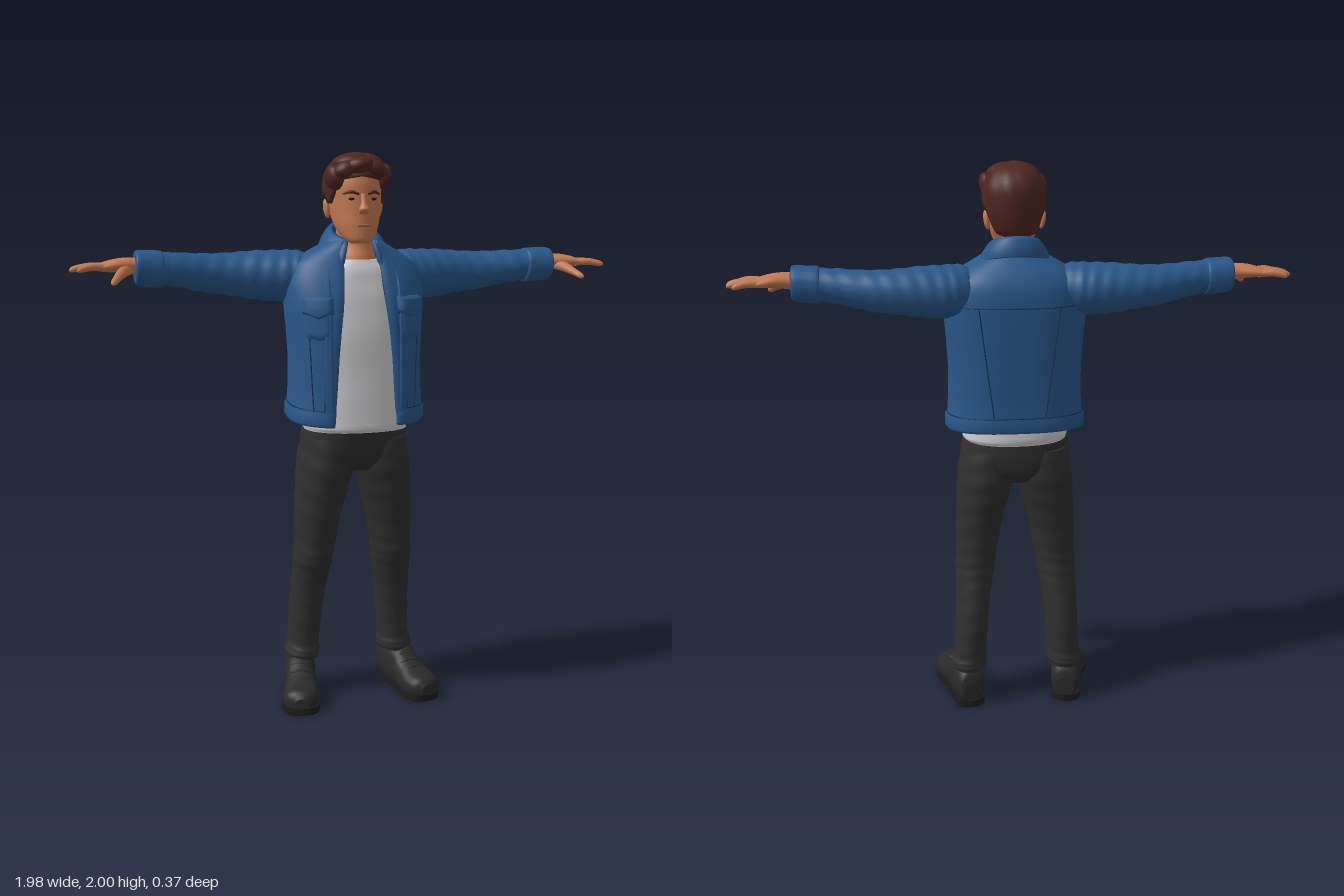
import * as THREE from 'three';

const V = (x, y, z) => new THREE.Vector3(x, y, z);
const mat = (name, color, side = THREE.FrontSide) => {
  const m = new THREE.MeshStandardMaterial({ color, side });
  m.name = name;
  return m;
};

// Piecewise linear lookup: rows sorted by their first entry
function lookup(rows, k) {
  let i = 0;
  while (i < rows.length - 2 && k > rows[i + 1][0]) i++;
  const a = rows[i], b = rows[i + 1];
  const t = THREE.MathUtils.clamp((k - a[0]) / (b[0] - a[0]), 0, 1);
  return a.map((v, j) => v + (b[j] - v) * t);
}

// Joins closed rings of points into a smooth skin, with optional end caps
function stitch(rings, capStart = true, capEnd = true) {
  const pos = [], idx = [], n = rings[0].length;
  rings.forEach(r => r.forEach(p => pos.push(p.x, p.y, p.z)));
  for (let i = 0; i < rings.length - 1; i++) for (let j = 0; j < n; j++) {
    const a = i * n + j, c = i * n + (j + 1) % n;
    idx.push(a, a + n, c, c, a + n, c + n);
  }
  const cap = (ring, end) => {
    const o = pos.length / 3, mid = V(0, 0, 0);
    ring.forEach(p => { mid.addScaledVector(p, 1 / n); pos.push(p.x, p.y, p.z); });
    pos.push(mid.x, mid.y, mid.z);
    for (let j = 0; j < n; j++) {
      const a = o + j, b = o + (j + 1) % n;
      end ? idx.push(o + n, b, a) : idx.push(o + n, a, b);
    }
  };
  if (capStart) cap(rings[0], false);
  if (capEnd) cap(rings[rings.length - 1], true);
  const g = new THREE.BufferGeometry();
  g.setAttribute('position', new THREE.Float32BufferAttribute(pos, 3));
  g.setIndex(idx);
  g.computeVertexNormals();
  return g;
}

// Loft along an axis through sections [x, y, z, radiusU, radiusV]
function loft(secs, axis, { seg = 24, steps = 4, e = 1, folds = 0, floor = -9 } = {}) {
  const k = 'xyz'.indexOf(axis);
  if (secs[0][k] > secs[secs.length - 1][k]) secs = [...secs].reverse();
  const u = axis === 'x' ? V(0, 1, 0) : V(1, 0, 0);
  const v = { x: V(0, 0, -1), y: V(0, 0, 1), z: V(0, -1, 0) }[axis];
  const path = new THREE.CatmullRomCurve3(secs.map(s => V(s[0], s[1], s[2])), false, 'catmullrom');
  const size = new THREE.CatmullRomCurve3(secs.map(s => V(s[3], s[4], 0)), false, 'catmullrom');
  const n = (secs.length - 1) * steps, rings = [];
  const pw = c => Math.sign(c) * Math.abs(c) ** e;
  for (let i = 0; i <= n; i++) {
    const c = path.getPoint(i / n), r = size.getPoint(i / n);
    rings.push(Array.from({ length: seg }, (_, j) => {
      const a = j / seg * Math.PI * 2, w = 1 + folds * Math.sin(i * 1.5 + 2 * Math.sin(a) + a);
      const p = c.clone().addScaledVector(u, r.x * pw(Math.cos(a)) * w).addScaledVector(v, r.y * pw(Math.sin(a)) * w);
      p.y = Math.max(p.y, floor);
      return p;
    }));
  }
  return stitch(rings);
}

const ellipsoid = (x, y, z, rx, ry, rz, tilt = 0) =>
  new THREE.SphereGeometry(1, 20, 14).scale(rx, ry, rz).rotateZ(tilt).translate(x, y, z);

// Garment open at the front; rows are [y, radiusX, radiusZ, centreZ, halfOpening]
function garment(rows, thick, tilt, e = 0.78) {
  const pw = c => Math.sign(c) * Math.abs(c) ** e;
  const phi = (y, x) => Math.asin(Math.min(1, x / lookup(rows, y)[1]) ** (1 / e));
  const at = (y, a, off = 0) => {
    const [, rx, rz, cz] = lookup(rows, y);
    const z = cz + (rz + off) * pw(Math.cos(a));
    return V((rx + off) * pw(Math.sin(a)), y + tilt(y, z), z);
  };
  const ring = (y, outer, inner) => {
    const a0 = phi(y, lookup(rows, y)[4]), N = 56, pts = [];
    const ang = i => a0 + (2 * Math.PI - 2 * a0) * i / N;
    for (let i = N; i >= 0; i--) pts.push(at(y, ang(i), outer));
    for (let i = 0; i <= N; i++) pts.push(at(y, ang(i), inner));
    return pts;
  };
  const ys = rows.map(r => r[0]), h = -thick / 2;
  const rings = [ring(ys[0], h, h), ...ys.map(y => ring(y, 0, -thick)), ring(ys[ys.length - 1], h, h)];
  return { at, phi, geometry: stitch(rings, false, false) };
}

// Raised plate on a garment, optionally with a pointed lower edge
function plate(g, x0, x1, y0, y1, point = 0, lift = 0.009) {
  const N = 10, pos = [], idx = [];
  for (let j = 0; j <= N; j++) for (let i = 0; i <= N; i++) {
    const s = i / N, low = y0 - point * (1 - Math.abs(2 * s - 1)), y = low + (y1 - low) * j / N;
    const edge = i === 0 || j === 0 || i === N || j === N;
    pos.push(...g.at(y, g.phi(y, x0 + (x1 - x0) * s), edge ? 0 : lift).toArray());
    const a = j * (N + 1) + i;
    if (i < N && j < N) idx.push(a, a + 1, a + N + 1, a + 1, a + N + 2, a + N + 1);
  }
  const geo = new THREE.BufferGeometry();
  geo.setAttribute('position', new THREE.Float32BufferAttribute(pos, 3));
  geo.setIndex(idx);
  geo.computeVertexNormals();
  return geo;
}
const seam = pts => new THREE.TubeGeometry(new THREE.CatmullRomCurve3(pts), 40, 0.0022, 5);

export function createModel() {
  const root = new THREE.Group();
  root.name = 'man';
  const skin = mat('skin', 0xc47a52), hair = mat('hair', 0x4e2620), denim = mat('denim', 0x28578a, THREE.DoubleSide);
  const stitchMat = mat('seam', 0x16304f), cotton = mat('shirt', 0xcfcfd1), trousers = mat('trousers', 0x2f2f30);
  const leather = mat('shoe', 0x2a2a2a), sole = mat('sole', 0x1c1c1c), lipMat = mat('lips', 0xa85f45), eyeMat = mat('eye', 0x2a1a15);
  const add = (name, geo, m) => {
    const mesh = new THREE.Mesh(geo, m);
    mesh.name = name;
    root.add(mesh);
  };
  const pair = (name, geo, m) => {
    add(name + 'Left', geo, m);
    const r = geo.clone().scale(-1, 1, 1), ix = r.index.array;
    for (let i = 0; i < ix.length; i += 3) [ix[i], ix[i + 1]] = [ix[i + 1], ix[i]];
    add(name + 'Right', r, m);
  };

  // Head and neck
  add('head', loft([[0, 1.69, 0.078, 0.03, 0.034], [0, 1.702, 0.07, 0.048, 0.052], [0, 1.73, 0.042, 0.067, 0.082],
    [0, 1.76, 0.027, 0.079, 0.097], [0, 1.8, 0.011, 0.088, 0.111], [0, 1.85, 0.004, 0.094, 0.117],
    [0, 1.9, 0.002, 0.096, 0.116], [0, 1.95, 0, 0.08, 0.1], [0, 1.975, 0, 0.05, 0.06]], 'y', { seg: 32 }), skin);
  add('neck', loft([[0, 1.59, 0, 0.085, 0.1], [0, 1.64, 0.005, 0.075, 0.09], [0, 1.69, 0.002, 0.063, 0.074],
    [0, 1.76, 0, 0.062, 0.072]], 'y'), skin);
  add('nose', loft([[0, 1.86, 0.118, 0.009, 0.006], [0, 1.825, 0.127, 0.011, 0.013], [0, 1.806, 0.132, 0.019, 0.019],
    [0, 1.79, 0.122, 0.015, 0.008]], 'y', { seg: 14 }), skin);
  add('lips', ellipsoid(0, 1.752, 0.121, 0.024, 0.006, 0.006), lipMat);
  add('chin', ellipsoid(0, 1.713, 0.106, 0.026, 0.018, 0.018), skin);
  pair('ear', ellipsoid(0.097, 1.81, -0.012, 0.011, 0.034, 0.021, -0.15), skin);
  pair('eye', ellipsoid(0.038, 1.842, 0.111, 0.013, 0.005, 0.004), eyeMat);
  pair('eyebrow', loft([[0.016, 1.858, 0.122, 0.004, 0.004], [0.042, 1.866, 0.113, 0.006, 0.006],
    [0.066, 1.859, 0.093, 0.003, 0.004]], 'x', { seg: 10 }), hair);

  // Hair cap following a hairline, plus swept locks in front
  const line = [[0, 1.918], [0.85, 1.905], [1.1, 1.85], [1.3, 1.825], [1.5, 1.83], [1.65, 1.86], [1.9, 1.84], [2.2, 1.77], [3.15, 1.75]];
  const hairRing = (t, k) => Array.from({ length: 64 }, (_, j) => {
    const a = -j / 64 * Math.PI * 2, low = lookup(line, Math.acos(Math.cos(a)))[1];
    const y = low + (1.997 - low) * Math.sin(t * Math.PI / 2);
    const prof = y > 1.9 ? Math.sqrt(Math.max(0, 1 - ((y - 1.9) / 0.1) ** 2)) ** 0.9 : 1 - 0.25 * ((1.9 - y) / 0.15) ** 2;
    const r = k * prof * (1 + 0.02 * Math.sin(9 * a + 30 * y));
    return V(0.11 * r * Math.sin(a), y, 0.004 + 0.13 * r * Math.cos(a));
  });
  add('hair', stitch([hairRing(0, 0.84), ...Array.from({ length: 15 }, (_, i) => hairRing(i / 14, 1))]), hair);
  [[-0.088, 1.915, 0.06, 0.032, 0.045, 0.055, 0.2], [-0.06, 1.94, 0.098, 0.045, 0.03, 0.042, 0.5],
    [-0.01, 1.955, 0.112, 0.05, 0.03, 0.042, 0.15], [0.045, 1.945, 0.1, 0.05, 0.03, 0.042, -0.4],
    [0.088, 1.92, 0.06, 0.027, 0.045, 0.05, -0.2], [-0.03, 1.972, 0.05, 0.065, 0.028, 0.07, 0.2],
    [0.04, 1.97, 0.04, 0.055, 0.028, 0.07, -0.25]].forEach(l => add('hairLock', ellipsoid(...l), hair));

  // Shirt
  add('shirt', loft([[0, 1.03, 0.003, 0.188, 0.156], [0, 1.06, 0.003, 0.192, 0.162], [0, 1.2, 0.003, 0.19, 0.155],
    [0, 1.4, 0, 0.195, 0.152], [0, 1.52, -0.008, 0.19, 0.145], [0, 1.6, -0.005, 0.14, 0.125],
    [0, 1.635, 0, 0.088, 0.104]], 'y', { seg: 40, e: 0.85, folds: 0.006 }), cotton);

  // Jacket body and collar
  const jacket = garment([[1.07, 0.246, 0.184, 0, 0.12], [1.08, 0.252, 0.189, 0, 0.12], [1.115, 0.251, 0.188, 0, 0.117],
    [1.125, 0.243, 0.183, 0, 0.116], [1.2, 0.238, 0.182, 0, 0.11], [1.3, 0.238, 0.181, 0, 0.103],
    [1.4, 0.244, 0.179, -0.004, 0.092], [1.47, 0.25, 0.174, -0.008, 0.082], [1.53, 0.252, 0.165, -0.016, 0.075],
    [1.58, 0.245, 0.153, -0.024, 0.07], [1.62, 0.225, 0.138, -0.027, 0.066], [1.65, 0.185, 0.12, -0.022, 0.063],
    [1.68, 0.13, 0.104, -0.012, 0.06], [1.7, 0.095, 0.095, -0.005, 0.06]], 0.016,
  (y, z) => -z * 0.09 * THREE.MathUtils.clamp((1.35 - y) / 0.25, 0, 1));
  add('jacketBody', jacket.geometry, denim);
  const collar = garment([[1.655, 0.13, 0.132, -0.002, 0.07], [1.69, 0.116, 0.122, -0.004, 0.06],
    [1.715, 0.1, 0.112, -0.006, 0.052], [1.728, 0.088, 0.103, -0.008, 0.052]], 0.018, (y, z) => -z * 0.35, 0.95);
  add('collar', collar.geometry, denim);

  // Pocket flaps, pockets, plackets and seams
  pair('chestPocket', plate(jacket, 0.125, 0.205, 1.37, 1.47, 0.01, 0.006), denim);
  pair('pocketFlap', plate(jacket, 0.115, 0.213, 1.455, 1.51, 0.025, 0.014), denim);
  pair('placket', plate(jacket, 0.121, 0.148, 1.12, 1.6, 0, 0.005), denim);
  const run = (f, n = 16) => Array.from({ length: n + 1 }, (_, i) => f(i / n));
  const upright = (x0, x1, y0, y1, back) => seam(run(t => {
    const y = y0 + (y1 - y0) * t, a = jacket.phi(y, x0 + (x1 - x0) * t);
    return jacket.at(y, back ? Math.PI - a : a, 0.0005);
  }));
  pair('frontSeam', upright(0.15, 0.14, 1.125, 1.42), stitchMat);
  pair('sideFrontSeam', upright(0.185, 0.195, 1.125, 1.37), stitchMat);
  pair('backSeam', upright(0.09, 0.14, 1.125, 1.53, true), stitchMat);
  pair('flapSeam', seam(run(t => {
    const y = 1.455 - 0.025 * (1 - Math.abs(2 * t - 1));
    return jacket.at(y, jacket.phi(y, 0.115 + 0.098 * t), 0.002);
  })), stitchMat);
  add('yokeSeam', seam(run(t => jacket.at(1.53, Math.PI * (0.7 + 0.6 * t), 0.0005))), stitchMat);
  add('hemSeam', seam(run(t => jacket.at(1.126, 0.5 + (2 * Math.PI - 1) * t, 0.0005), 50)), stitchMat);

  // Sleeves and cuffs
  pair('sleeve', loft([[0.14, 1.58, -0.045, 0.07, 0.085], [0.2, 1.578, -0.058, 0.088, 0.105], [0.26, 1.575, -0.068, 0.091, 0.105],
    [0.34, 1.578, -0.078, 0.087, 0.094], [0.43, 1.582, -0.084, 0.076, 0.082], [0.52, 1.587, -0.076, 0.069, 0.074],
    [0.62, 1.6, -0.056, 0.06, 0.066], [0.7, 1.606, -0.042, 0.056, 0.062]], 'x', { folds: 0.02, steps: 6 }), denim);
  pair('cuff', loft([[0.672, 1.603, -0.045, 0.055, 0.06], [0.68, 1.604, -0.044, 0.063, 0.069], [0.72, 1.606, -0.041, 0.063, 0.069],
    [0.762, 1.609, -0.037, 0.06, 0.07], [0.77, 1.61, -0.036, 0.05, 0.06]], 'x', { e: 0.9 }), denim);

  // Hands
  pair('palm', loft([[0.74, 1.612, -0.032, 0.031, 0.036], [0.79, 1.618, -0.028, 0.028, 0.042], [0.84, 1.618, -0.028, 0.023, 0.054],
    [0.88, 1.614, -0.03, 0.016, 0.054], [0.9, 1.611, -0.03, 0.01, 0.046]], 'x'), skin);
  [[0.008, 0.965, 0.03], [-0.016, 0.99, -0.008], [-0.042, 0.987, -0.048], [-0.067, 0.965, -0.083]].forEach(([z, tip, tz]) => {
    const s = (t, y, r) => [0.865 + (tip - 0.865) * t, y, z + (tz - z) * t, r, r];
    pair('finger', loft([s(0, 1.613, 0.013), s(0.45, 1.616, 0.0125), s(0.8, 1.61, 0.011), s(0.95, 1.606, 0.008),
      s(1, 1.605, 0.002)], 'x', { seg: 12 }), skin);
  });
  pair('thumb', loft([[0.785, 1.61, -0.01, 0.02, 0.02], [0.815, 1.597, 0.025, 0.019, 0.018], [0.836, 1.58, 0.06, 0.014, 0.013],
    [0.85, 1.567, 0.088, 0.011, 0.01], [0.854, 1.563, 0.098, 0.003, 0.003]], 'z', { seg: 14 }), skin);

  // Trousers
  add('hips', loft([[0, 0.88, -0.015, 0.12, 0.1], [0, 0.92, -0.014, 0.19, 0.128], [0, 0.98, -0.01, 0.199, 0.14],
    [0, 1.045, -0.003, 0.185, 0.145]], 'y', { e: 0.9, seg: 36 }), trousers);
  pair('trouserLeg', loft([[0.1, 1, -0.01, 0.095, 0.128], [0.105, 0.9, -0.014, 0.106, 0.134], [0.121, 0.8, -0.016, 0.096, 0.12],
    [0.136, 0.7, -0.018, 0.086, 0.104], [0.145, 0.6, -0.022, 0.077, 0.094], [0.152, 0.54, -0.026, 0.074, 0.092],
    [0.157, 0.48, -0.042, 0.069, 0.086], [0.166, 0.38, -0.064, 0.063, 0.083], [0.173, 0.28, -0.078, 0.061, 0.079],
    [0.178, 0.2, -0.082, 0.06, 0.075], [0.182, 0.165, -0.081, 0.067, 0.081], [0.183, 0.14, -0.08, 0.062, 0.077]],
  'y', { folds: 0.014, steps: 5 }), trousers);

  // Shoes, turned slightly outward
  const turn = g => g.rotateY(0.2).translate(0.208, 0, 0);
  pair('shoe', turn(loft([[0, 0.06, -0.16, 0.035, 0.04], [0, 0.075, -0.145, 0.05, 0.065], [0, 0.08, -0.08, 0.058, 0.085],
    [0, 0.075, -0.02, 0.056, 0.078], [0, 0.055, 0.04, 0.06, 0.062], [0.002, 0.045, 0.1, 0.067, 0.048],
    [0.002, 0.042, 0.145, 0.056, 0.043], [0, 0.038, 0.17, 0.025, 0.025]], 'z', { e: 0.85, floor: 0.015 })), leather);
  [0.012, 0.045, 0.078].forEach((z, i) => pair('lace', turn(new THREE.TorusGeometry(0.034, 0.006, 6, 14, Math.PI)
    .scale(1, 0.45, 1).rotateX(0.35).translate(0, 0.122 - i * 0.016, z - 0.012)), leather));
  const outline = new THREE.Shape(new THREE.SplineCurve([[0, -0.168], [0.05, -0.145], [0.055, -0.05], [0.06, 0.04], [0.072, 0.1], [0.05, 0.158],
    [0, 0.174], [-0.05, 0.158], [-0.068, 0.1], [-0.056, 0.04], [-0.054, -0.05], [-0.05, -0.145], [0, -0.168]]
    .map(p => new THREE.Vector2(p[0], -p[1]))).getPoints(48));
  const soleGeo = new THREE.ExtrudeGeometry(outline, { depth: 0.026, bevelEnabled: false }).rotateX(-Math.PI / 2);
  soleGeo.setIndex([...Array(soleGeo.attributes.position.count).keys()]);
  pair('shoeSole', turn(soleGeo), sole);
  return root;
}
